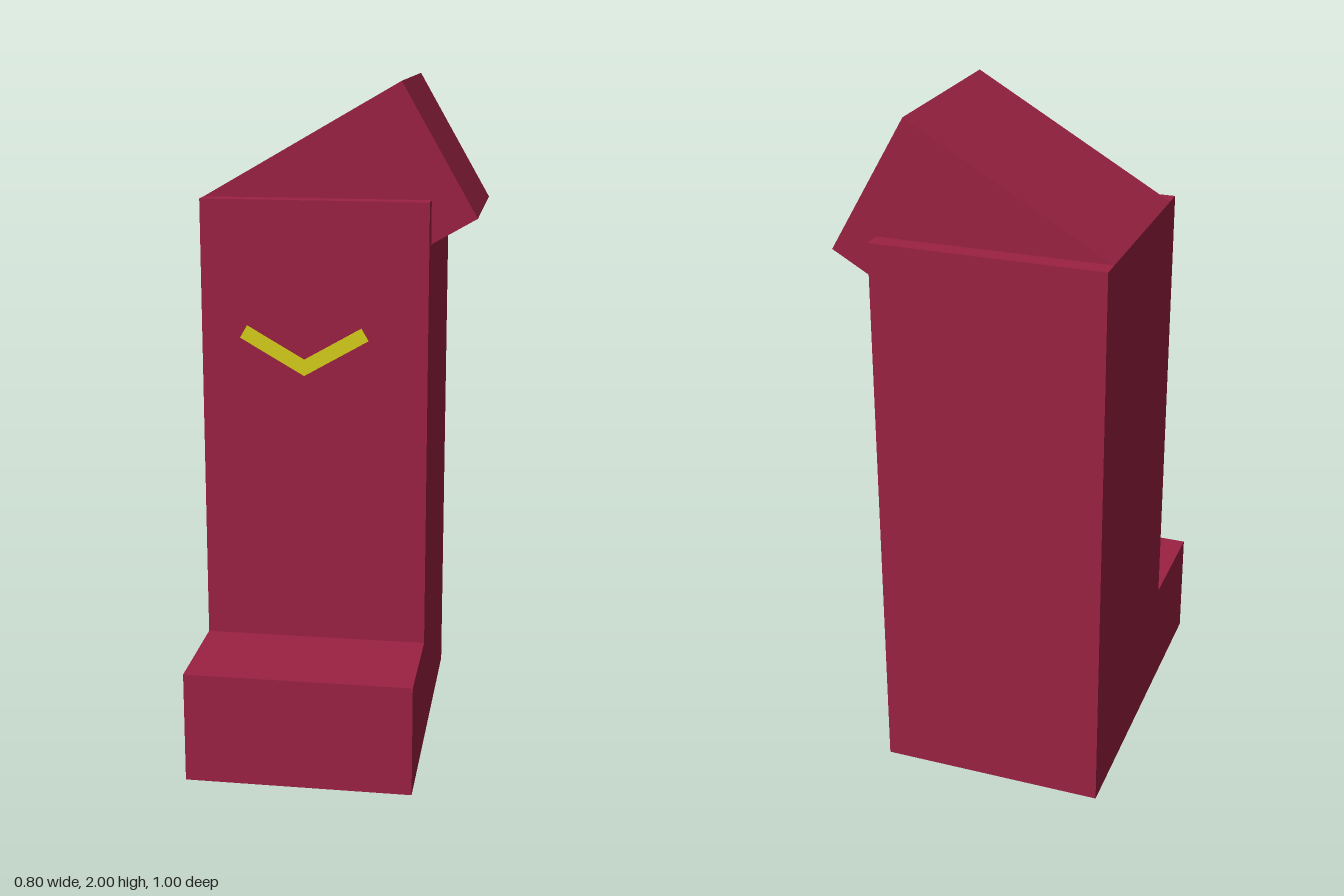
import * as THREE from 'three';

export function createModel() {
  const model = new THREE.Group();
  const red = new THREE.MeshStandardMaterial({ color: 0x9b2242 });
  const yellow = new THREE.MeshStandardMaterial({ color: 0xd6cf1a });

  const add = (name, geometry, material, x, y, z) => {
    const mesh = new THREE.Mesh(geometry, material);
    mesh.name = name;
    mesh.position.set(x, y, z);
    model.add(mesh);
    return mesh;
  };

  // L-shaped body: tall block with a low step at the front, drawn as (z, y)
  const side = new THREE.Shape([
    [-0.5, 0], [0.5, 0], [0.5, 0.333], [0.167, 0.333], [0.167, 1.667], [-0.5, 1.667],
  ].map(([z, y]) => new THREE.Vector2(z, y)));
  const bodyGeometry = new THREE.ExtrudeGeometry(side, { depth: 0.667, bevelEnabled: false });
  bodyGeometry.rotateY(-Math.PI / 2); // shape x -> +z, extrusion -> -x
  add('body', bodyGeometry, red, 0.267, 0, 0);

  // Tilted head block, hinged on the body's upper right edge
  const width = 0.667, height = 0.444;
  const headGeometry = new THREE.BoxGeometry(width, height, 0.555);
  headGeometry.translate(width / 2, -height / 2, 0);
  add('head', headGeometry, red, -0.4, 1.667, -0.167).rotation.z = Math.PI / 6;

  // Chevron on the front: two slanted arms with a mitred joint
  const rise = Math.tan(Math.PI / 6);
  const chevron = new THREE.Shape([
    [0, 0], [0.19, 0.19 * rise], [0.169, 0.146], [0, 0.146 - 0.169 * rise],
    [-0.169, 0.146], [-0.19, 0.19 * rise],
  ].map(([x, y]) => new THREE.Vector2(x, y)));
  const chevronGeometry = new THREE.ExtrudeGeometry(chevron, { depth: 0.005, bevelEnabled: false });
  add('chevron', chevronGeometry, yellow, -0.096, 1.153, 0.167);

  return model;
}
